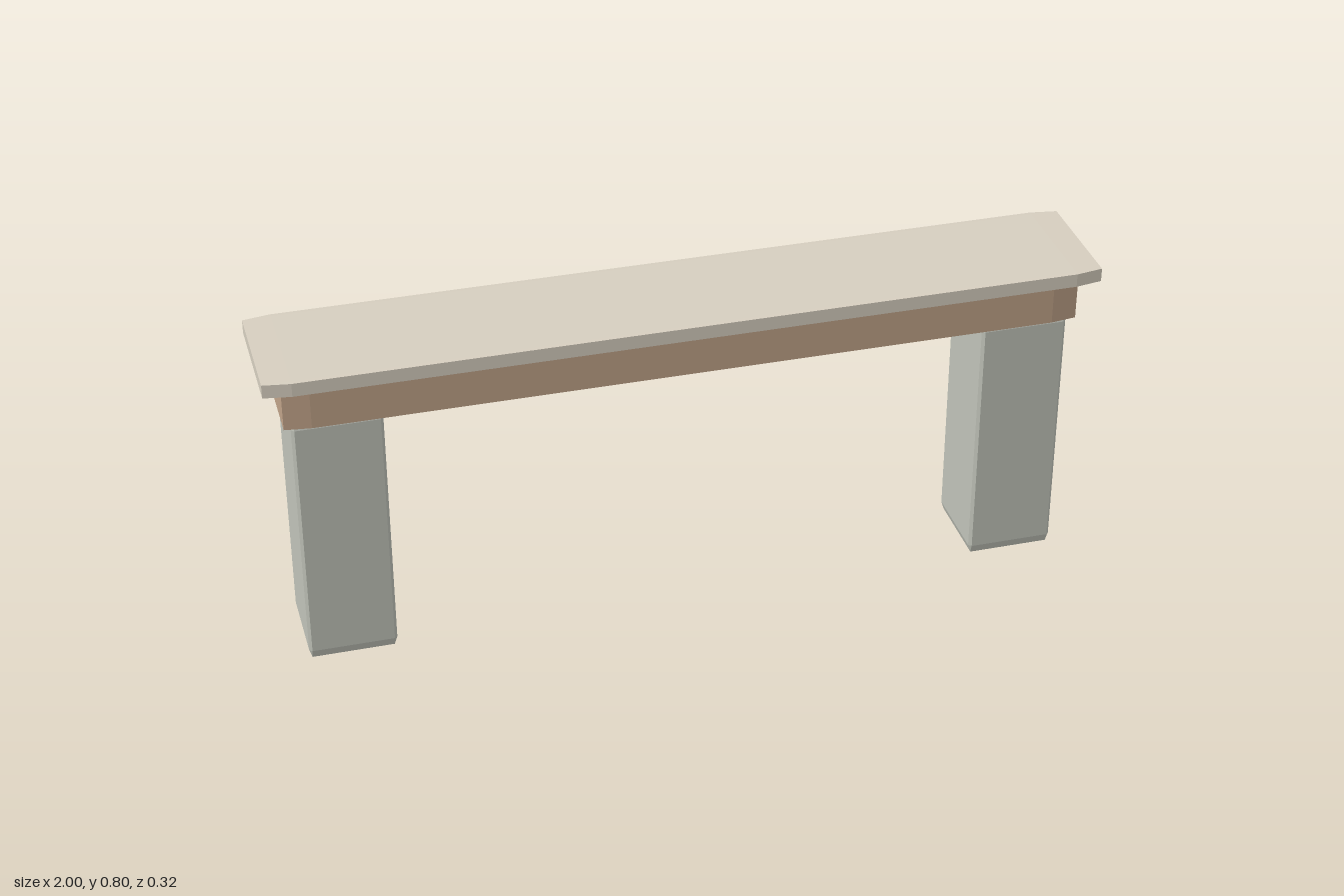
import * as THREE from 'three';
import { ConvexGeometry } from 'three/addons/geometries/ConvexGeometry.js';

// Box whose edge chamfers are a fixed share of each dimension
function chamferedBox(name, color, size, center, share = 0.033) {
  const half = size.map((s) => s / 2);
  const inner = size.map((s) => s * (0.5 - share));
  const points = [];
  for (const sx of [-1, 1]) for (const sy of [-1, 1]) for (const sz of [-1, 1]) {
    const sign = [sx, sy, sz];
    // one point per face meeting at this corner
    for (let face = 0; face < 3; face++) {
      points.push(new THREE.Vector3(
        ...sign.map((s, axis) => s * (axis === face ? half : inner)[axis])));
    }
  }
  const mesh = new THREE.Mesh(
    new ConvexGeometry(points),
    new THREE.MeshStandardMaterial({ color, flatShading: true }));
  mesh.name = name;
  mesh.position.set(...center);
  return mesh;
}

export function createModel() {
  const group = new THREE.Group();
  group.name = 'bench';

  // Seat slab and the beam carrying it
  group.add(chamferedBox('seatTop', 0xd6cebf, [2, 0.036, 0.316], [0, 0.784, 0]));
  group.add(chamferedBox('beam', 0xbfa288, [1.91, 0.113, 0.25], [0, 0.7095, 0]));

  // Square legs, tops sunk slightly into the beam
  for (const side of [-1, 1]) {
    group.add(chamferedBox(side > 0 ? 'leftLeg' : 'rightLeg', 0xbfc2b8,
      [0.213, 0.665, 0.214], [side * 0.831, 0.3325, 0]));
  }

  // Panel on the back of the beam
  group.add(chamferedBox('backPanel', 0x6f8a98, [0.914, 0.156, 0.032], [0, 0.677, -0.133]));

  return group;
}
